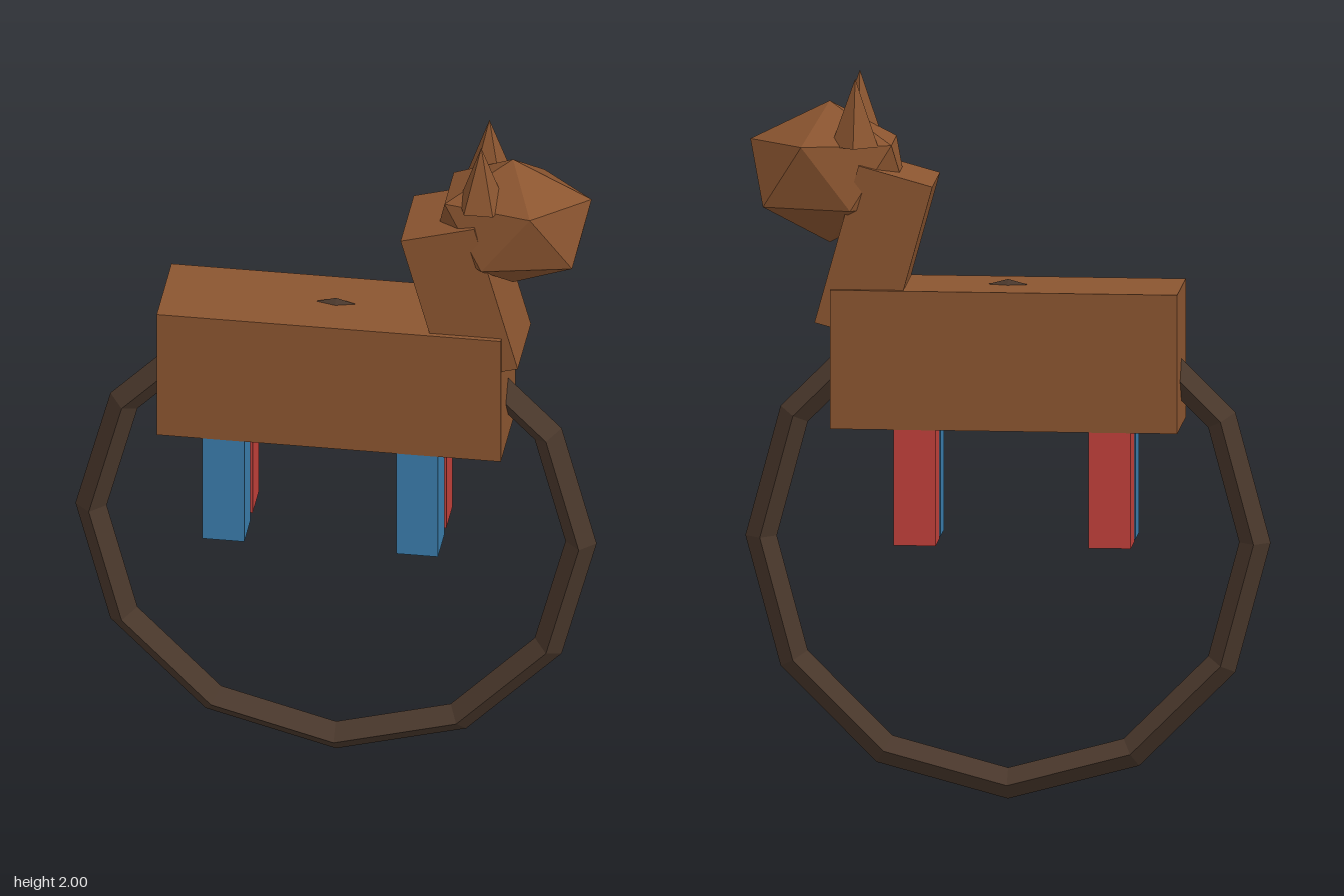
import * as THREE from 'three';

const material = (color) => new THREE.MeshStandardMaterial({ color, flatShading: true });

export function createModel() {
  const model = new THREE.Group();
  model.name = 'hoopAnimal';
  const coat = material(0x8b5530);
  const hoopWood = material(0x4a382c);
  const blue = material(0x3a7cab);
  const red = material(0xc0403a);

  const add = (name, geometry, mat, x, y, z) => {
    const mesh = new THREE.Mesh(geometry, mat);
    mesh.name = name;
    mesh.position.set(x, y, z);
    model.add(mesh);
    return mesh;
  };

  // Twelve-sided hoop with a diamond section, running through the body
  add('hoop', new THREE.TorusGeometry(0.676, 0.043, 4, 12), hoopWood, 0, 0.72, 0);

  // Body and leaning neck
  add('body', new THREE.BoxGeometry(0.95, 0.384, 0.27), coat, 0, 1.232, 0);
  const neck = add('neck', new THREE.BoxGeometry(0.21, 0.452, 0.242), coat, 0.358, 1.521, 0);
  neck.rotation.z = 0.27;

  // Head: icosahedron turned to stand on a corner, then stretched
  const head = new THREE.IcosahedronGeometry(1, 0);
  head.rotateZ(-Math.atan(2 / (1 + Math.sqrt(5))));
  head.scale(0.243, 0.196, 0.16);
  add('head', head, coat, 0.488, 1.73, 0);

  // Ears: five-sided cones with one corner towards the back
  const ear = new THREE.ConeGeometry(0.068, 0.185, 5);
  ear.rotateY(Math.PI);

  // Paired parts: blue legs in front, red legs behind
  for (const side of [1, -1]) {
    const sideName = side > 0 ? 'Front' : 'Back';
    add('ear' + sideName, ear, coat, 0.412, 1.9075, side * 0.075);
    for (const x of [-0.29, 0.244]) {
      add('leg' + sideName, new THREE.BoxGeometry(0.115, 0.34, 0.115),
        side > 0 ? blue : red, x, 0.89, side * 0.0765);
    }
  }

  // Balance the depth of the ears around z = 0
  model.children.forEach((part) => { part.position.z += 0.003; });
  return model;
}
